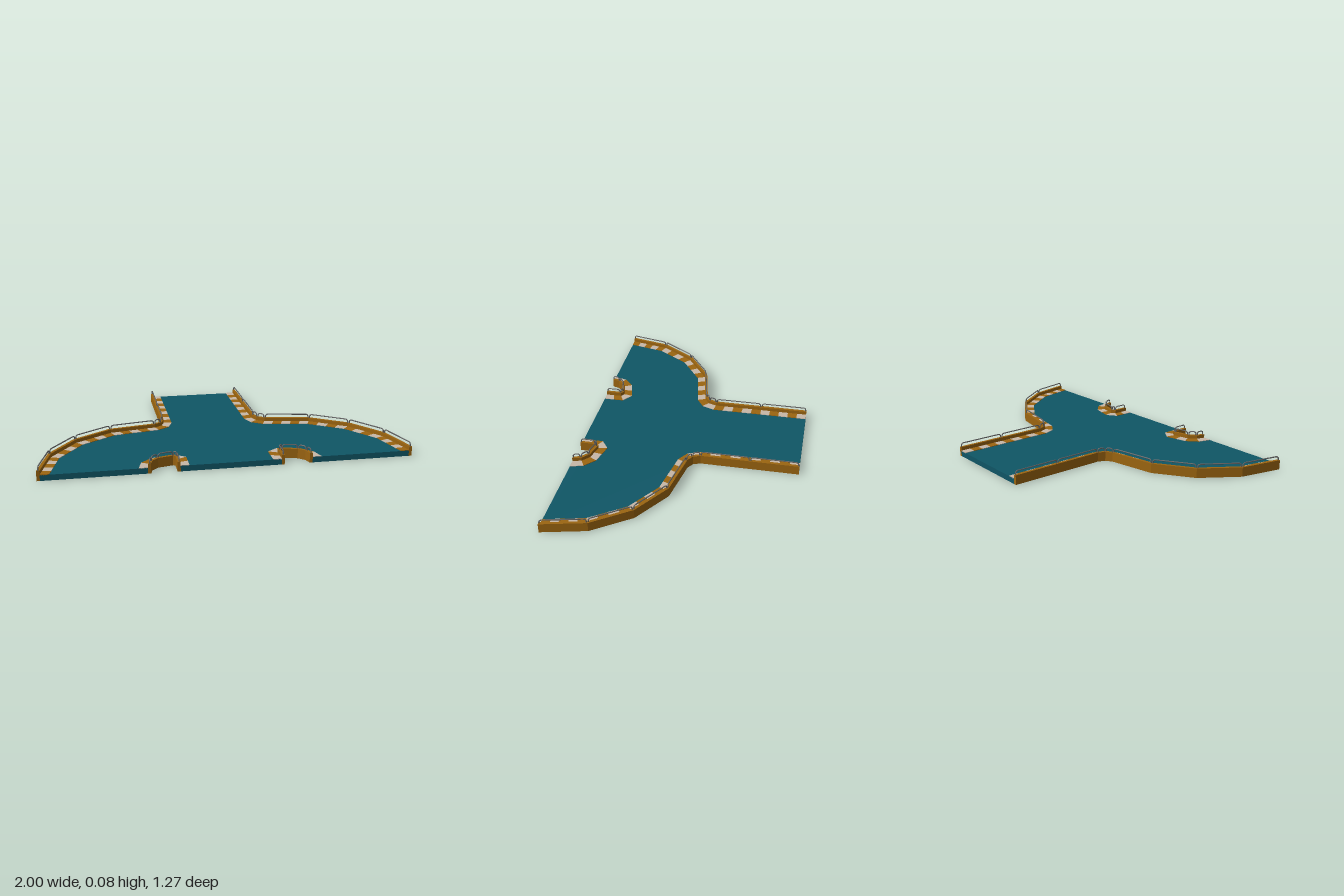
import * as THREE from 'three';
import { mergeGeometries } from 'three/addons/utils/BufferGeometryUtils.js';

const END = 0.633, WALL = 0.016, CURB = 0.062;
const WALL_TOP = 0.054, ROAD_TOP = 0.031, RAIL_TOP = 0.079, PIPE = 0.0035;

// Outer edges of the +x half as [x, z]; the road lies to the same hand of both
const outerEdge = [[0.286, -END], [0.286, -0.355], [0.286, -0.075], [0.302, -0.033], [0.338, -0.009],
  [0.6, 0.041], [0.805, 0.181], [0.945, 0.388], [1, END]];
const outerStripes = [5, 5, 1, 1, 5, 4, 4, 5];
const notchEdge = [[0.423, END], [0.412, 0.592], [0.378, 0.56], [0.297, 0.54], [0.286, 0.548], [0.286, END]];
const notchStripes = [1, 1, 2, 1, 2];

const paint = (color) => new THREE.MeshStandardMaterial({ color, flatShading: true, side: THREE.DoubleSide });
const teal = paint(0x0f5666), ochre = paint(0x9c6510), pale = paint(0xc8b8a8);
const steel = new THREE.MeshStandardMaterial({ color: 0x666666 });

// Mitred offset towards the road; both ends stay on their cut line
function offset(path, w) {
  const normals = path.slice(1).map(([x, z], i) => {
    const dx = x - path[i][0], dz = z - path[i][1], l = Math.hypot(dx, dz);
    return [-dz / l, dx / l];
  });
  return path.map(([x, z], i) => {
    const a = normals[i - 1], b = normals[i];
    if (!a || !b) return [x + w / (a || b)[0], z];
    const k = w / (1 + a[0] * b[0] + a[1] * b[1]);
    return [x + (a[0] + b[0]) * k, z + (a[1] + b[1]) * k];
  });
}

// Upright prism over a plan outline
function prism(points, y0, y1) {
  const shape = new THREE.Shape(points.map(([x, z]) => new THREE.Vector2(x, -z)));
  return new THREE.ExtrudeGeometry(shape, { depth: y1 - y0, bevelEnabled: false })
    .rotateX(-Math.PI / 2).translate(0, y0, 0);
}

const mix = (a, b, t) => [a[0] + (b[0] - a[0]) * t, a[1] + (b[1] - a[1]) * t];

// Alternating blocks on the road side of the wall
function stripes(path, counts) {
  const near = offset(path, WALL), far = offset(path, CURB), sets = [[], []];
  let n = 0;
  counts.forEach((count, i) => {
    for (let k = 0; k < count; k++, n++) {
      const s = k / count, e = (k + 1) / count;
      sets[n % 2].push(prism([mix(near[i], near[i + 1], s), mix(near[i], near[i + 1], e),
        mix(far[i], far[i + 1], e), mix(far[i], far[i + 1], s)], ROAD_TOP - 0.002, ROAD_TOP + 0.003));
    }
  });
  return sets.map((set) => mergeGeometries(set));
}

// Curve through points in even steps, so that bends keep their points
class Polyline extends THREE.Curve {
  constructor(points) { super(); this.points = points; }
  getPoint(t, target = new THREE.Vector3()) {
    const last = this.points.length - 1, f = Math.min(Math.max(t, 0), 1) * last;
    const i = Math.min(Math.floor(f), last - 1);
    return target.lerpVectors(this.points[i], this.points[i + 1], f - i);
  }
  getPointAt(u, target) { return this.getPoint(u, target); }
  getTangentAt(u, target) { return this.getTangent(u, target); }
}

// One round-cornered hoop per straight stretch
function rails(path) {
  const line = offset(path, WALL / 2);
  return mergeGeometries(line.slice(1).map((end, i) => {
    const start = line[i], length = Math.hypot(end[0] - start[0], end[1] - start[1]);
    const gap = Math.min(0.005, length * 0.12), r = Math.min(0.014, length * 0.25);
    const at = (d, y) => {
      const [x, z] = mix(start, end, d / length);
      return new THREE.Vector3(x, y, z);
    };
    const top = RAIL_TOP - PIPE, left = [], right = [];
    left.push(at(gap, WALL_TOP - 0.002));
    right.push(at(length - gap, WALL_TOP - 0.002));
    for (let k = 0; k <= 4; k++) {
      const a = k / 4 * Math.PI / 2, d = gap + r * (1 - Math.cos(a)), y = top - r * (1 - Math.sin(a));
      left.push(at(d, y));
      right.push(at(length - d, y));
    }
    const points = [...left, ...right.reverse()];
    return new THREE.TubeGeometry(new Polyline(points), points.length - 1, PIPE, 6);
  }));
}

export function createModel() {
  const model = new THREE.Group();
  const add = (name, geometry, material) => {
    const mesh = new THREE.Mesh(geometry, material);
    mesh.name = name;
    model.add(mesh);
  };

  // Road deck reaching to the inner faces of the walls
  const half = [...offset(outerEdge, WALL), ...offset(notchEdge, WALL)];
  const mirrored = half.map(([x, z]) => [-x, z]).reverse();
  add('roadDeck', prism([...half, ...mirrored], 0, ROAD_TOP), teal);

  for (const [side, sign] of [['left', 1], ['right', -1]]) {
    for (const [part, path, counts] of [['Outer', outerEdge, outerStripes], ['Notch', notchEdge, notchStripes]]) {
      // Mirror by flipping x and walking the edge the other way
      const edge = sign > 0 ? path : path.map(([x, z]) => [-x, z]).reverse();
      const wall = prism([...edge, ...offset(edge, WALL).reverse()], 0, WALL_TOP);
      add(side + part + 'Wall', wall, ochre);
      add(side + part + 'Rail', rails(edge), steel);

      const flipStart = sign < 0 && counts.reduce((a, b) => a + b) % 2 === 0;
      const [first, second] = stripes(edge, sign > 0 ? counts : [...counts].reverse());
      add(side + part + 'PaleStripes', flipStart ? second : first, pale);
      add(side + part + 'OchreStripes', flipStart ? first : second, ochre);
    }
  }
  return model;
}
